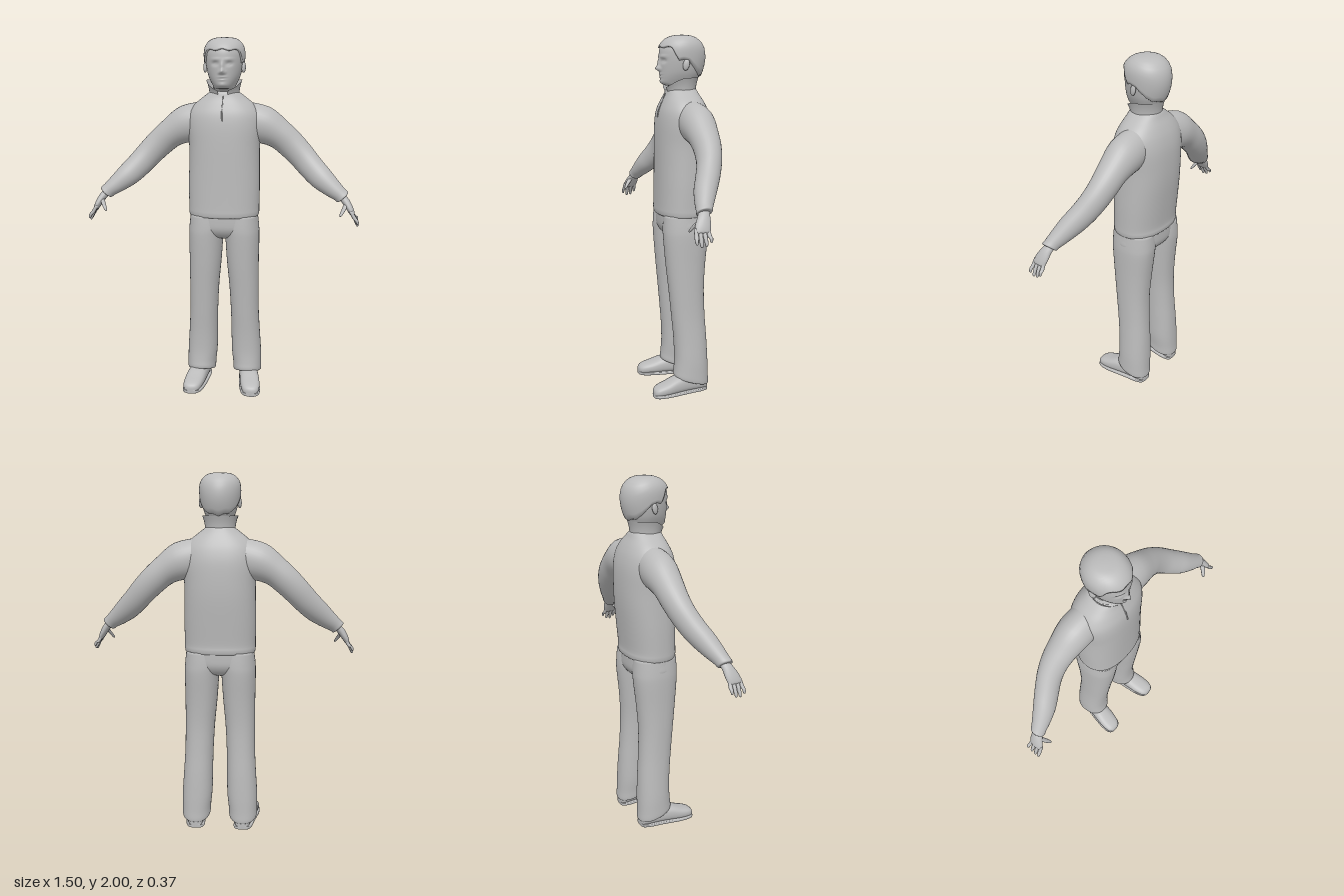
import * as THREE from 'three';

const grey = new THREE.MeshStandardMaterial({ color: 0xbbbbbb, side: THREE.DoubleSide });
grey.name = 'plain grey';

// Catmull-Rom sampling of every column in a table of key rows
function sample(keys, steps) {
  const out = [], last = keys.length - 1;
  for (let i = 0; i < last; i++) {
    for (let s = 0; s < steps; s++) {
      const t = s / steps, k = j => keys[Math.min(last, Math.max(0, j))];
      out.push(keys[i].map((p1, c) => {
        const p0 = k(i - 1)[c], p2 = k(i + 1)[c], p3 = k(i + 2)[c];
        return p1 + 0.5 * t * (p2 - p0 + t * (2 * p0 - 5 * p1 + 4 * p2 - p3 + t * (3 * (p1 - p2) + p3 - p0)));
      }));
    }
  }
  out.push(keys[last]);
  return out;
}

// Closed skin over rings; point(row, angle) gives [x, y, z]
function loft(rows, n, point) {
  const pos = [], idx = [], top = rows.length - 1;
  rows.forEach(r => { for (let j = 0; j < n; j++) pos.push(...point(r, j / n * Math.PI * 2)); });
  for (let i = 0; i < top; i++) for (let j = 0; j < n; j++) {
    const a = i * n + j, b = i * n + (j + 1) % n;
    idx.push(a, a + n, b, b, a + n, b + n);
  }
  for (const i of [0, top]) {
    const c = [0, 0, 0], m = pos.length / 3;
    for (let j = 0; j < n; j++) for (let k = 0; k < 3; k++) c[k] += pos[(i * n + j) * 3 + k] / n;
    pos.push(...c);
    for (let j = 0; j < n; j++) {
      const a = i * n + j, b = i * n + (j + 1) % n;
      if (i) idx.push(a, m, b); else idx.push(a, b, m);
    }
  }
  // Turn the faces outward using the signed volume
  let vol = 0;
  const v = i => new THREE.Vector3().fromArray(pos, i * 3);
  for (let i = 0; i < idx.length; i += 3) vol += v(idx[i]).dot(v(idx[i + 1]).cross(v(idx[i + 2])));
  if (vol < 0) idx.reverse();
  const g = new THREE.BufferGeometry();
  g.setAttribute('position', new THREE.Float32BufferAttribute(pos, 3));
  g.setIndex(idx);
  g.computeVertexNormals();
  return g;
}

const pw = (v, e) => Math.sign(v) * Math.abs(v) ** e;

// Level ring: [y, cx, cz, halfWidth, halfDepth, hemTilt]
const level = (side, e) => ([y, cx, cz, hx, hz, tilt = 0], a) => {
  const z = hz * pw(Math.sin(a), e);
  return [side * (cx + hx * pw(Math.cos(a), e)), y + tilt * z, cz + z];
};

// Limb ring: [x, y, z, halfThickness, halfDepth, tilt]
const limb = side => ([x, y, z, h, d, t], a) => [
  side * (x + Math.sin(t) * h * Math.cos(a)), y + Math.cos(t) * h * Math.cos(a), z + d * Math.sin(a)];

// Head rows: [y, halfWidth, front, back]
const Z0 = -0.03;
const headRows = sample([
  [1.66, .062, .02, -.09], [1.72, .064, .03, -.1], [1.732, .062, .065, -.104], [1.745, .064, .086, -.11],
  [1.77, .077, .092, -.12], [1.8, .089, .094, -.135], [1.84, .098, .096, -.147], [1.88, .103, .097, -.152],
  [1.92, .104, .094, -.148], [1.95, .096, .08, -.134], [1.975, .075, .05, -.105], [1.988, .045, .015, -.072],
  [1.992, .002, -.028, -.032]], 6);
// Face relief: [x, y, spreadX, spreadY, push]
const relief = [
  [0, 1.822, .012, .013, .024], [0, 1.85, .009, .024, .012], [.038, 1.862, .017, .01, -.012],
  [.038, 1.861, .009, .005, .006], [.036, 1.885, .026, .007, .005], [.016, 1.816, .007, .007, .006],
  [0, 1.792, .02, .004, .006], [0, 1.778, .017, .004, .005], [0, 1.785, .022, .002, -.004], [0, 1.752, .02, .012, .005]];
const skull = ([y, w, f, b], a, off = 0) => {
  const s = Math.sin(a);
  return [(w + off) * Math.cos(a), y, Z0 + s * ((s > 0 ? f - Z0 : Z0 - b) + off)];
};
function face(row, a) {
  const [x, y, z] = skull(row, a);
  let push = 0;
  if (Math.sin(a) > 0) for (const [rx, ry, sx, sy, d] of relief)
    push += d * Math.exp(-(((Math.abs(x) - rx) / sx) ** 2) - ((y - ry) / sy) ** 2);
  return [x, y, z + push];
}

// Hair follows the skull above a hairline that drops toward the nape
const hairline = [[-1, 1.772], [-.5, 1.8], [-.1, 1.86], [.2, 1.862], [.35, 1.86], [.6, 1.925], [1, 1.93]];
function hair([u], a) {
  const s = Math.sin(a);
  const i = Math.max(1, hairline.findIndex(h => h[0] >= s - 1e-6));
  const [s0, y0] = hairline[i - 1], [s1, y1] = hairline[i];
  const low = THREE.MathUtils.lerp(y0, y1, (s - s0) / (s1 - s0)) + .004 * Math.sin(a * 9);
  const y = low + (1.992 - low) * Math.sin(u * Math.PI / 2);
  const k = Math.min(headRows.length - 1, Math.max(1, headRows.findIndex(r => r[0] >= y - 1e-6)));
  const p = headRows[k - 1], q = headRows[k], t = (y - p[0]) / (q[0] - p[0]);
  const off = u === 0 ? -.006 : .009;
  const pt = skull(p.map((v, c) => v + (q[c] - v) * t), a, off);
  pt[1] += .008 * Math.max(0, (y - 1.9) / .092);
  return pt;
}

export function createModel() {
  const model = new THREE.Group();
  const add = (name, geometry) => {
    const m = new THREE.Mesh(geometry, grey);
    m.name = name;
    model.add(m);
    return m;
  };

  // Head and hair
  add('head', loft(headRows, 96, face));
  add('hair', loft([0, .03, .1, .2, .3, .4, .5, .6, .7, .78, .85, .91, .96, 1].map(u => [u]), 72, hair));

  // Pullover body
  add('pullover', loft(sample([
    [1.03, 0, -.018, .18, .12], [1.024, 0, -.018, .194, .134], [1.045, 0, -.018, .199, .139],
    [1.08, 0, -.018, .199, .138], [1.2, 0, -.025, .2, .143], [1.32, 0, -.031, .198, .148], [1.42, 0, -.033, .198, .149],
    [1.52, 0, -.033, .205, .145], [1.59, 0, -.031, .197, .133], [1.64, 0, -.03, .165, .114],
    [1.68, 0, -.028, .118, .094], [1.705, 0, -.026, .085, .084], [1.715, 0, -.026, .074, .074]], 4), 56, level(1, .86)));

  // Standing collar, open at the throat
  const collar = new THREE.PlaneGeometry(1, 1, 48, 5), cp = collar.attributes.position;
  for (let i = 0; i < cp.count; i++) {
    const a = Math.PI / 2 + .3 + (cp.getX(i) + .5) * (Math.PI * 2 - .6), h = cp.getY(i) + .5;
    const front = Math.max(0, Math.sin(a)), r = .082 + .016 * h * h;
    cp.setXYZ(i, r * Math.cos(a), 1.69 - .02 * front + h * (.083 - .035 * front ** 2), -.024 + r * Math.sin(a));
  }
  collar.computeVertexNormals();
  add('collar', collar);
  const zip = new THREE.CatmullRomCurve3([[1.69, .062], [1.65, .077], [1.6, .1], [1.56, .109]]
    .map(([y, z]) => new THREE.Vector3(0, y, z)));
  add('zip', new THREE.TubeGeometry(zip, 12, .004, 6));

  // Hips
  add('hips', loft(sample([
    [1.06, 0, -.02, .188, .126], [1.0, 0, -.02, .194, .127], [.95, 0, -.02, .195, .122],
    [.91, 0, -.02, .15, .095], [.89, 0, -.02, .08, .05]], 4), 48, level(1, .88)));

  for (const side of [1, -1]) {
    const label = side > 0 ? 'left' : 'right';
    const ear = add(label + 'Ear', new THREE.SphereGeometry(1, 16, 12));
    ear.position.set(side * .105, 1.842, -.022);
    ear.scale.set(.011, .031, .018);
    ear.rotation.set(-.2, side * -.3, 0);

    // Sleeve, with a slight fold near the elbow
    add(label + 'Sleeve', loft(sample([
      [.08, 1.56, -.045, .1, .085, .25], [.2, 1.53, -.05, .108, .094, .48], [.3, 1.478, -.052, .084, .081, .65],
      [.37, 1.42, -.051, .078, .072, .7], [.43, 1.36, -.038, .074, .067, .72], [.485, 1.3, -.012, .07, .066, .74],
      [.54, 1.247, .018, .065, .063, .76], [.6, 1.197, .045, .052, .052, .78], [.64, 1.167, .061, .042, .043, .8],
      [.658, 1.152, .068, .04, .04, .82], [.66, 1.15, .069, .029, .03, .82]], 4), 32, limb(side)));

    // Hand: palm, four fingers and a thumb
    add(label + 'Palm', loft(sample([
      [.64, 1.165, .063, .021, .027, .9], [.672, 1.135, .076, .021, .032, 1], [.695, 1.1, .087, .019, .04, 1.1],
      [.711, 1.07, .094, .014, .039, 1.15], [.715, 1.062, .096, .006, .034, 1.15]], 4), 20, limb(side)));
    [[.066, .06, 1.022], [.086, .084, 1.004], [.106, .108, 1.0], [.125, .132, 1.014]].forEach(([z0, z1, y], i) => {
      add(label + 'Finger' + (i + 1), loft(sample([
        [.702, 1.085, z0, .009, .01, 1.1], [.722, 1.05, (z0 + z1) / 2, .01, .0105, 1.15],
        [.736, y + .02, z1, .0085, .009, 1.2], [.742, y + .004, z1, .006, .006, 1.2],
        [.743, y, z1, .001, .001, 1.2]], 3), 10, limb(side)));
    });
    add(label + 'Thumb', loft(sample([
      [.678, 1.125, .092, .014, .014, 1.2], [.668, 1.1, .112, .013, .013, 1.4], [.656, 1.078, .128, .011, .01, 1.5],
      [.648, 1.062, .137, .007, .007, 1.5], [.646, 1.057, .139, .001, .001, 1.5]], 3), 10, limb(side)));

    // Trouser leg with a hem that drops at the heel
    add(label + 'Trouser', loft(sample([
      [1.03, .1, -.02, .09, .122, 0], [.96, .1, -.02, .098, .127, 0], [.9, .104, -.02, .097, .126, 0],
      [.75, .108, -.018, .091, .112, 0], [.6, .115, -.021, .084, .1, 0], [.45, .12, -.03, .081, .095, 0],
      [.32, .125, -.04, .083, .094, .05], [.2, .13, -.045, .086, .095, .15], [.12, .135, -.044, .083, .098, .25],
      [.08, .136, -.043, .082, .101, .3], [.066, .136, -.043, .077, .095, .3], [.075, .136, -.043, .06, .07, .3]],
      4), 40, level(side, .9)));

    // Shoe rows: [z, cx, halfWidth, height]; the sole is a low slab around it
    const shoe = sample([
      [-.135, .135, .015, .04], [-.128, .135, .037, .07], [-.09, .138, .05, .1], [-.02, .145, .053, .11],
      [.05, .155, .056, .1], [.11, .164, .056, .078], [.16, .17, .048, .062], [.183, .172, .032, .048],
      [.19, .173, .01, .032]], 4);
    add(label + 'Shoe', loft(shoe, 28, ([z, cx, w, h], a) => [
      side * (cx + w * pw(Math.cos(a), .75)), .006 + (h - .006) * (.5 + .5 * pw(Math.sin(a), .8)), z]));
    add(label + 'Sole', loft(shoe, 20, ([z, cx, w], a) => [
      side * (cx + (w + .004) * pw(Math.cos(a), .4)), .01 + .01 * pw(Math.sin(a), .4), z]));
  }
  return model;
}
